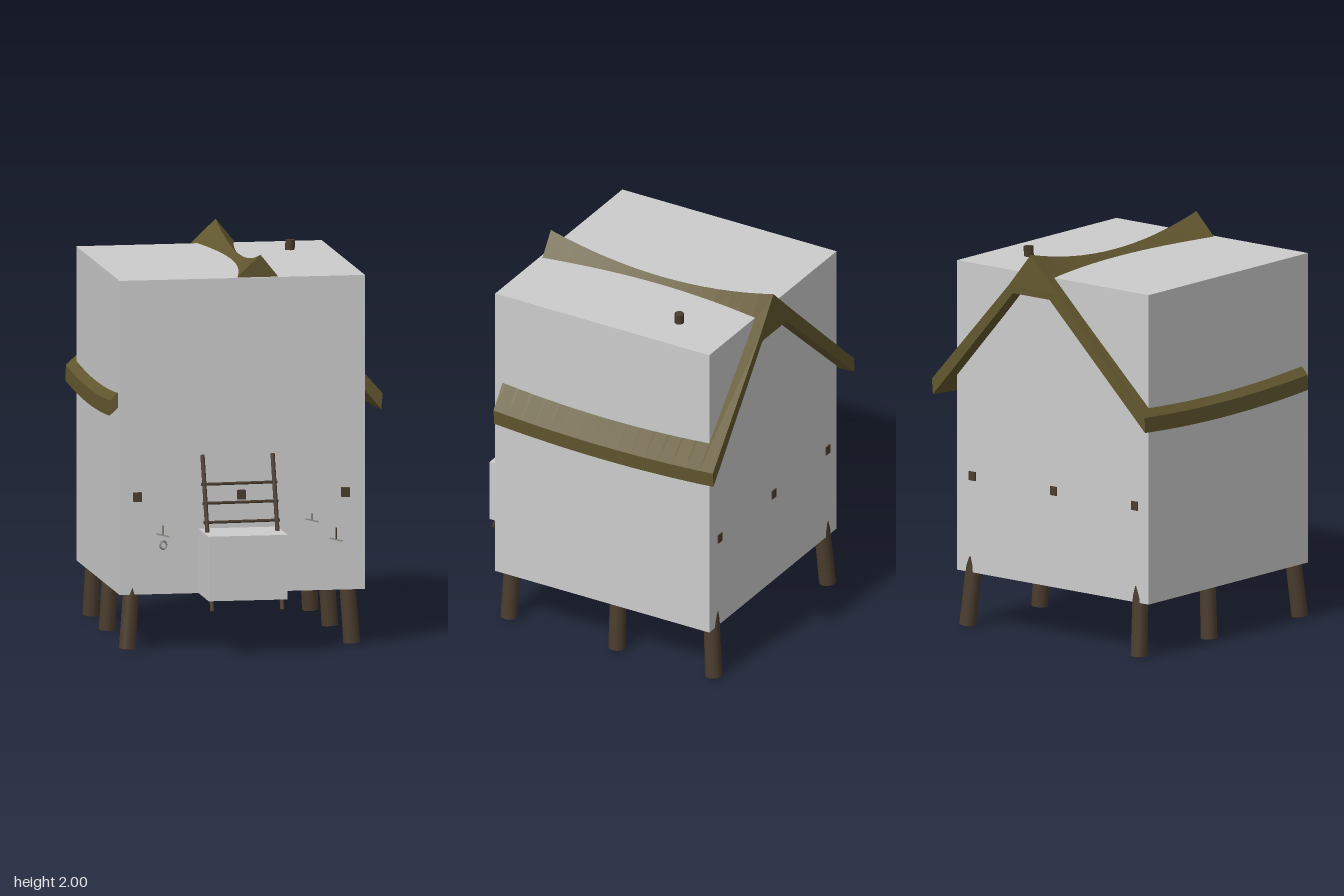
import * as THREE from 'three';

const mat = (name, color) => {
  const m = new THREE.MeshStandardMaterial({ color });
  m.name = name;
  return m;
};

export function createModel() {
  const model = new THREE.Group();
  const wall = mat('pale grey', 0xcccccc);
  const thatch = mat('olive thatch', 0x62572f);
  const wood = mat('dark wood', 0x4b3c2e);
  const metal = mat('grey metal', 0x9a9a96);

  const add = (name, geometry, material) => {
    const mesh = new THREE.Mesh(geometry, material);
    mesh.name = name;
    model.add(mesh);
    return mesh;
  };
  // Box given by its minimum and maximum corners
  const box = (name, a, b, material) =>
    add(name, new THREE.BoxGeometry(b[0] - a[0], b[1] - a[1], b[2] - a[2]), material)
      .position.set((a[0] + b[0]) / 2, (a[1] + b[1]) / 2, (a[2] + b[2]) / 2);
  // Round pole between two points
  const pole = (name, from, to, r0, r1, sides, material) => {
    const a = new THREE.Vector3(...from), b = new THREE.Vector3(...to);
    const mesh = add(name, new THREE.CylinderGeometry(r1, r0, a.distanceTo(b), sides), material);
    mesh.position.copy(a).add(b).multiplyScalar(0.5);
    mesh.quaternion.setFromUnitVectors(new THREE.Vector3(0, 1, 0), b.sub(a).normalize());
  };

  // Main body and front step
  box('body', [-0.66, 0.28, -0.74], [0.6, 1.885, 0.52], wall);
  box('step', [-0.255, 0.28, 0.5], [0.15, 0.61, 0.82], wall);

  add('roof', roofGeometry(), thatch);

  // Pole rising through the roof
  pole('roofPole', [0.365, 1.6, -0.43], [0.385, 1.937, -0.435], 0.025, 0.025, 8, wood);

  // Six legs leaning inwards: foot x, foot z, top x, top z
  for (const [x, z, tx, tz] of [
    [0.54, 0.475, 0.515, 0.465], [0.54, -0.16, 0.515, -0.155], [0.54, -0.73, 0.515, -0.7],
    [-0.618, 0.505, -0.59, 0.475], [-0.6, -0.19, -0.58, -0.18], [-0.588, -0.73, -0.575, -0.7],
  ]) pole('leg', [x, 0.002, z], [tx, 0.36, tz], 0.043, 0.041, 12, wood);

  // Floor beams showing at front and back
  for (const x of [-0.57, -0.037, 0.498])
    box('beam', [x - 0.021, 0.757, -0.746], [x + 0.021, 0.803, 0.548], wood);

  // Ladder leaning on the front
  const ladderZ = y => 0.525 + (0.98 - y) * 0.38;
  for (const x of [-0.235, 0.125])
    pole('ladderRail', [x, 0.228, ladderZ(0.228)], [x, 0.985, ladderZ(0.985)], 0.011, 0.011, 8, wood);
  for (const y of [0.845, 0.753, 0.66])
    pole('ladderRung', [-0.25, y - 0.002, ladderZ(y)], [0.14, y + 0.002, ladderZ(y)], 0.008, 0.008, 6, wood);

  // Small hooks on the front wall: nail with a slanted bar below
  for (const [x, y, h] of [[-0.438, 0.58, 0.05], [0.327, 0.638, 0.035], [0.452, 0.536, 0.062]]) {
    pole('nail', [x, y, 0.523], [x, y + h, 0.523], 0.003, 0.003, 6, wood);
    const bar = add('hookBar', new THREE.BoxGeometry(0.068, 0.008, 0.008), metal);
    bar.position.set(x, y, 0.522);
    bar.rotation.z = -0.24;
  }
  const ring = add('hangingRing', new THREE.TorusGeometry(0.02, 0.006, 6, 12), metal);
  ring.position.set(-0.438, 0.532, 0.53);
  ring.rotation.y = 0.5;

  return model;
}

// Sagging gable roof: one section swept from back to front
function roofGeometry() {
  const ridgeX = 0.065, steps = 16;
  const section = [
    [0.693, 1.19], [0.7, 1.27], [0.21, 1.82], [ridgeX, 2], [-0.12, 1.82],
    [-0.7, 1.268], [-0.703, 1.19], [-0.06, 1.785], [0.18, 1.785],
  ];
  const at = (i, k) => {
    const [x, y] = section[i], s = (k / steps) * 2 - 1;
    const f = Math.min(1, Math.abs(x - ridgeX) / (x > ridgeX ? 0.635 : 0.765));
    const drop = (1 - s * s) * (0.085 - 0.06 * f);
    const z = -0.145 - 0.03 * f + (0.655 - 0.01 * f) * s;
    return [x, y - drop, z];
  };
  const pos = [];
  const n = section.length;
  for (let k = 0; k < steps; k++) {
    for (let i = 0; i < n; i++) {
      const j = (i + 1) % n;
      const a = at(i, k), b = at(j, k), c = at(i, k + 1), d = at(j, k + 1);
      pos.push(...c, ...a, ...b, ...c, ...b, ...d);
    }
  }
  // Gable ends
  const outline = section.map(p => new THREE.Vector2(...p));
  for (const [a, b, c] of THREE.ShapeUtils.triangulateShape(outline, [])) {
    pos.push(...at(a, steps), ...at(b, steps), ...at(c, steps));
    pos.push(...at(c, 0), ...at(b, 0), ...at(a, 0));
  }
  const g = new THREE.BufferGeometry();
  g.setAttribute('position', new THREE.Float32BufferAttribute(pos, 3));
  g.computeVertexNormals();
  return g;
}
